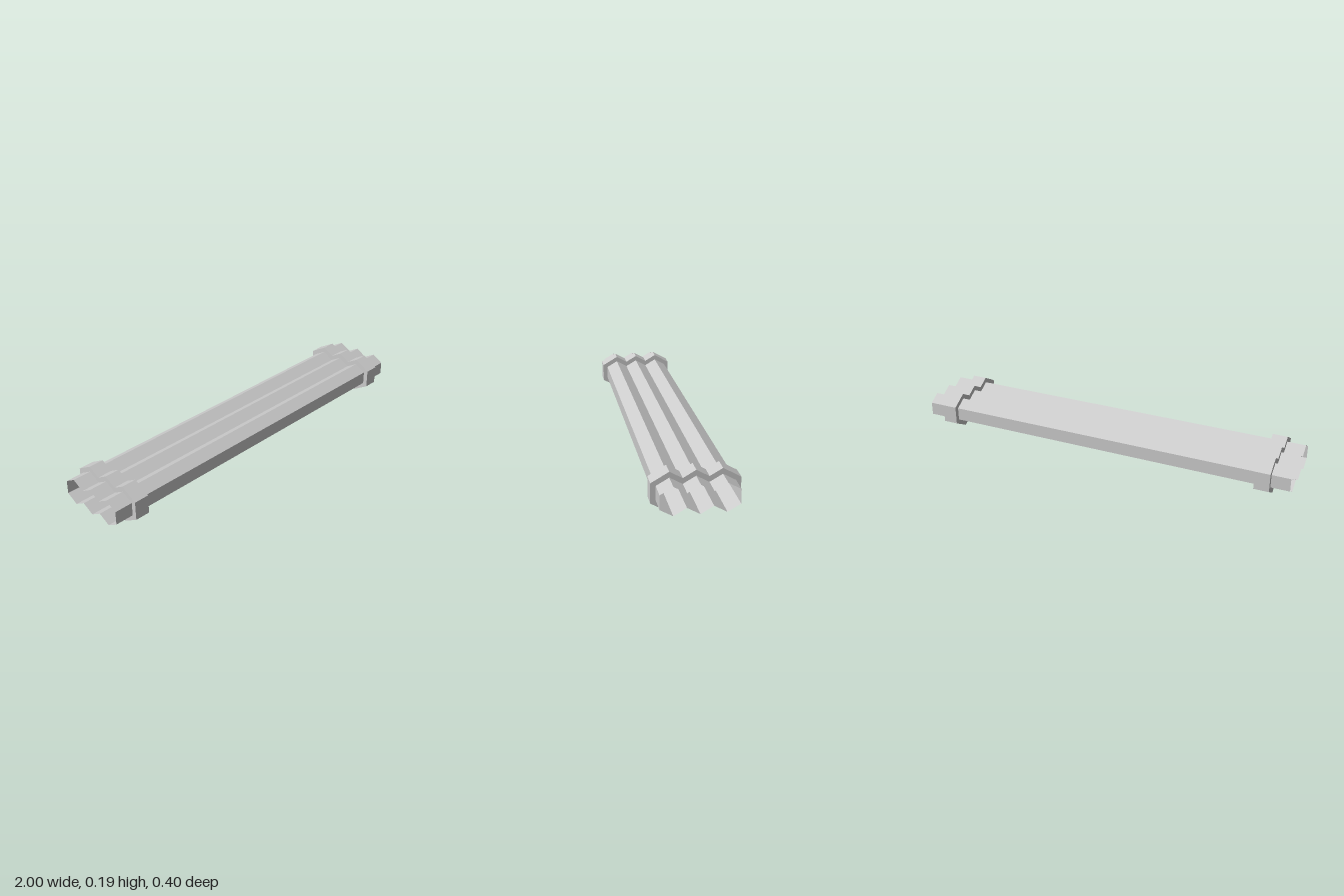
import * as THREE from 'three';

const R = 0.0676;                     // corner radius of one hexagonal cell
const A = R * Math.cos(Math.PI / 6);  // its apothem
const WALL = 0.0235;                  // strap thickness
const MID = R + WALL / Math.cos(Math.PI / 6); // height of the centre line

// Outline of three merged hexagons side by side, grown outward by t (counterclockwise)
function outline(t) {
  const lift = t / Math.cos(Math.PI / 6);
  const top = [];
  for (let i = 3; i >= -3; i--) {
    const end = Math.abs(i) === 3;
    const x = i * A + (end ? Math.sign(i) * t : 0);
    const y = end ? R / 2 + t * Math.tan(Math.PI / 6) : (i % 2 === 0 ? R : R / 2) + lift;
    top.push(new THREE.Vector2(x, y));
  }
  const bottom = top.map((p) => new THREE.Vector2(-p.x, -p.y));
  return [...top, ...bottom];
}

// Open-ended shell running along x
function shellGeometry(points, length) {
  const h = length / 2;
  const pos = [];
  points.forEach((a, i) => {
    const b = points[(i + 1) % points.length];
    const p = [-h, a.y, -a.x], q = [h, a.y, -a.x];
    const r = [h, b.y, -b.x], s = [-h, b.y, -b.x];
    pos.push(...p, ...q, ...r, ...p, ...r, ...s);
  });
  const geo = new THREE.BufferGeometry();
  geo.setAttribute('position', new THREE.Float32BufferAttribute(pos, 3));
  geo.computeVertexNormals();
  return geo;
}

export function createModel() {
  const group = new THREE.Group();
  group.name = 'tripleHexTube';
  const inner = outline(0);

  // Long thin-walled tube, open at both ends
  const tube = new THREE.Mesh(
    shellGeometry(inner, 2),
    new THREE.MeshStandardMaterial({ color: 0xcccccc, flatShading: true, side: THREE.DoubleSide })
  );
  tube.name = 'tube';
  tube.position.y = MID;
  group.add(tube);

  // Straps wrapping the tube near each end
  const ring = new THREE.Shape(outline(WALL));
  ring.holes.push(new THREE.Path(inner));
  const width = 0.076;
  const strapGeo = new THREE.ExtrudeGeometry(ring, { depth: width, bevelEnabled: false });
  strapGeo.translate(0, 0, -width / 2).rotateY(Math.PI / 2);
  const strapMat = new THREE.MeshStandardMaterial({ color: 0xcccccc, flatShading: true });
  for (const side of [-1, 1]) {
    const strap = new THREE.Mesh(strapGeo, strapMat);
    strap.name = side > 0 ? 'leftStrap' : 'rightStrap';
    strap.position.set(side * 0.868, MID, 0);
    group.add(strap);
  }
  return group;
}
